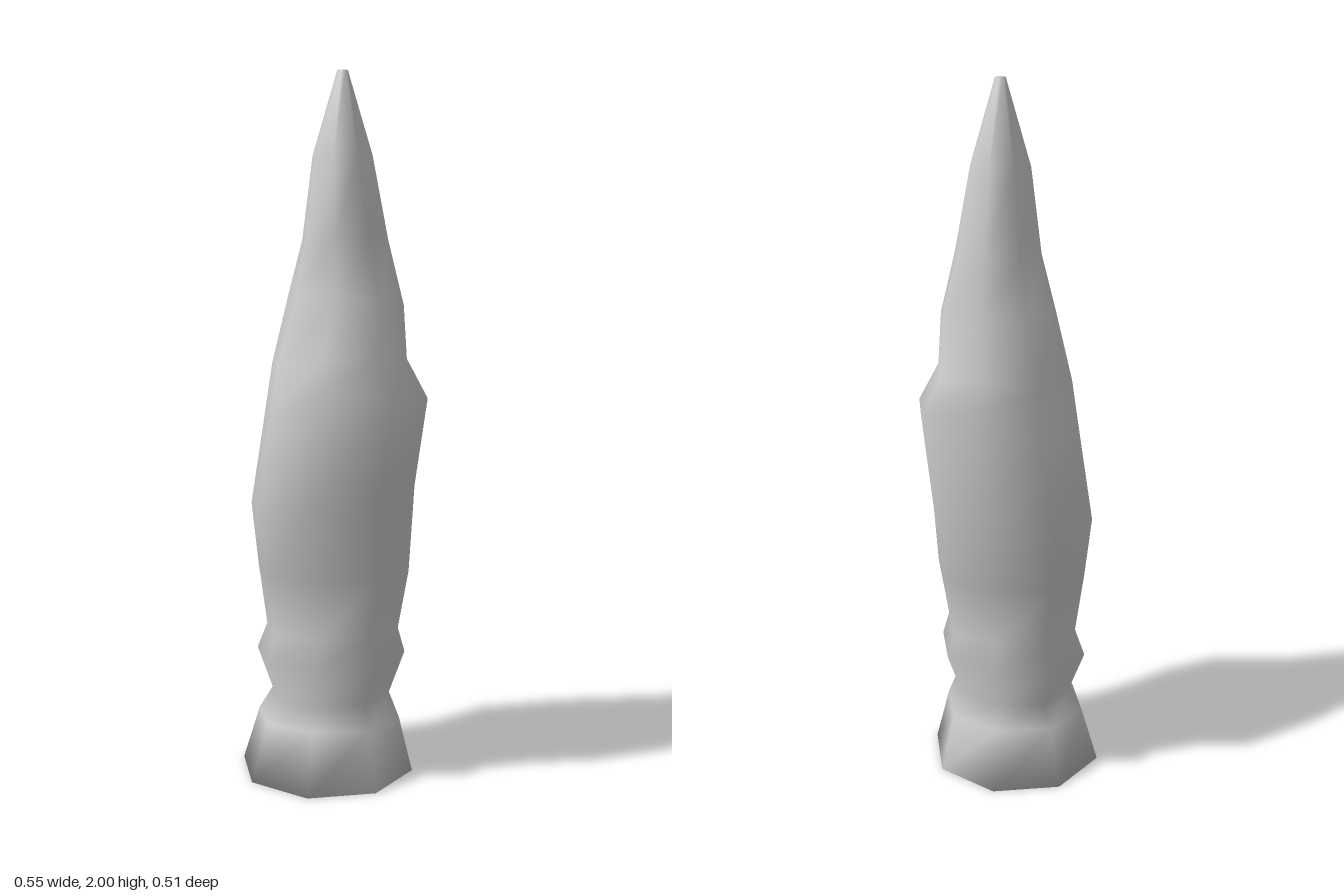
import * as THREE from 'three';

const SIDES = 8;

// Cross-sections from base to tip:
// [left x, left y, right x, right y, middle y, front z, back z, fullness of the diagonal corners]
const RINGS = [
  [-0.275, 0, 0.235, 0, 0, 0.256, 0.256, 0.71],
  [-0.225, 0.16, 0.195, 0.16, 0.17, 0.2, 0.2, 0.71],
  [-0.185, 0.225, 0.165, 0.235, 0.23, 0.16, 0.16, 0.75],
  [-0.23, 0.345, 0.21, 0.36, 0.36, 0.192, 0.192, 0.8],
  [-0.2, 0.42, 0.19, 0.43, 0.43, 0.16, 0.16, 0.85],
  [-0.225, 0.6, 0.22, 0.6, 0.6, 0.168, 0.168, 0.85],
  [-0.245, 0.78, 0.235, 0.85, 0.83, 0.233, 0.233, 0.85],
  [-0.205, 1.03, 0.27, 1.1, 1.14, 0.223, 0.223, 0.84],
  [-0.18, 1.19, 0.21, 1.21, 1.22, 0.2, 0.208, 0.8],
  [-0.13, 1.39, 0.2, 1.36, 1.39, 0.143, 0.18, 0.75],
  [-0.09, 1.54, 0.155, 1.54, 1.54, 0.14, 0.135, 0.71],
  [-0.06, 1.77, 0.11, 1.77, 1.77, 0.115, 0.115, 0.71],
  [0.01, 2, 0.04, 2, 2, 0.015, 0.015, 0.71],
];

// Point of a slightly tilted, uneven octagon
function ringPoint([xl, yl, xr, yr, ym, zf, zb, full], k) {
  const a = (k / SIDES) * Math.PI * 2;
  const c = Math.cos(a), s = Math.sin(a);
  const x = (xl + xr) / 2 + ((xr - xl) / 2) * c;
  const y = ym + Math.abs(c) * ((c > 0 ? yr : yl) - ym);
  const zUnit = k % 2 ? Math.sign(s) * full : s;
  return [x, y, zUnit * (zUnit > 0 ? zf : zb)];
}

function loft(rings) {
  const positions = [], indices = [];
  rings.forEach((ring) => {
    for (let k = 0; k < SIDES; k++) positions.push(...ringPoint(ring, k));
  });
  for (let i = 0; i < rings.length - 1; i++) {
    for (let k = 0; k < SIDES; k++) {
      const n = (k + 1) % SIDES;
      const a = i * SIDES + k, b = i * SIDES + n;
      indices.push(a, a + SIDES, b, b, a + SIDES, b + SIDES);
    }
  }
  // Base and tip caps
  const top = (rings.length - 1) * SIDES;
  for (let k = 1; k < SIDES - 1; k++) {
    indices.push(0, k, k + 1);
    indices.push(top, top + k + 1, top + k);
  }
  const geometry = new THREE.BufferGeometry();
  geometry.setAttribute('position', new THREE.Float32BufferAttribute(positions, 3));
  geometry.setIndex(indices);
  geometry.computeVertexNormals();
  return geometry;
}

export function createModel() {
  const group = new THREE.Group();
  group.name = 'pointedPillar';
  // Flared foot, collar, swelling body and tapered tip in one smooth skin
  const body = new THREE.Mesh(loft(RINGS), new THREE.MeshStandardMaterial({ color: 0xcccccc }));
  body.name = 'pillarBody';
  group.add(body);
  return group;
}
